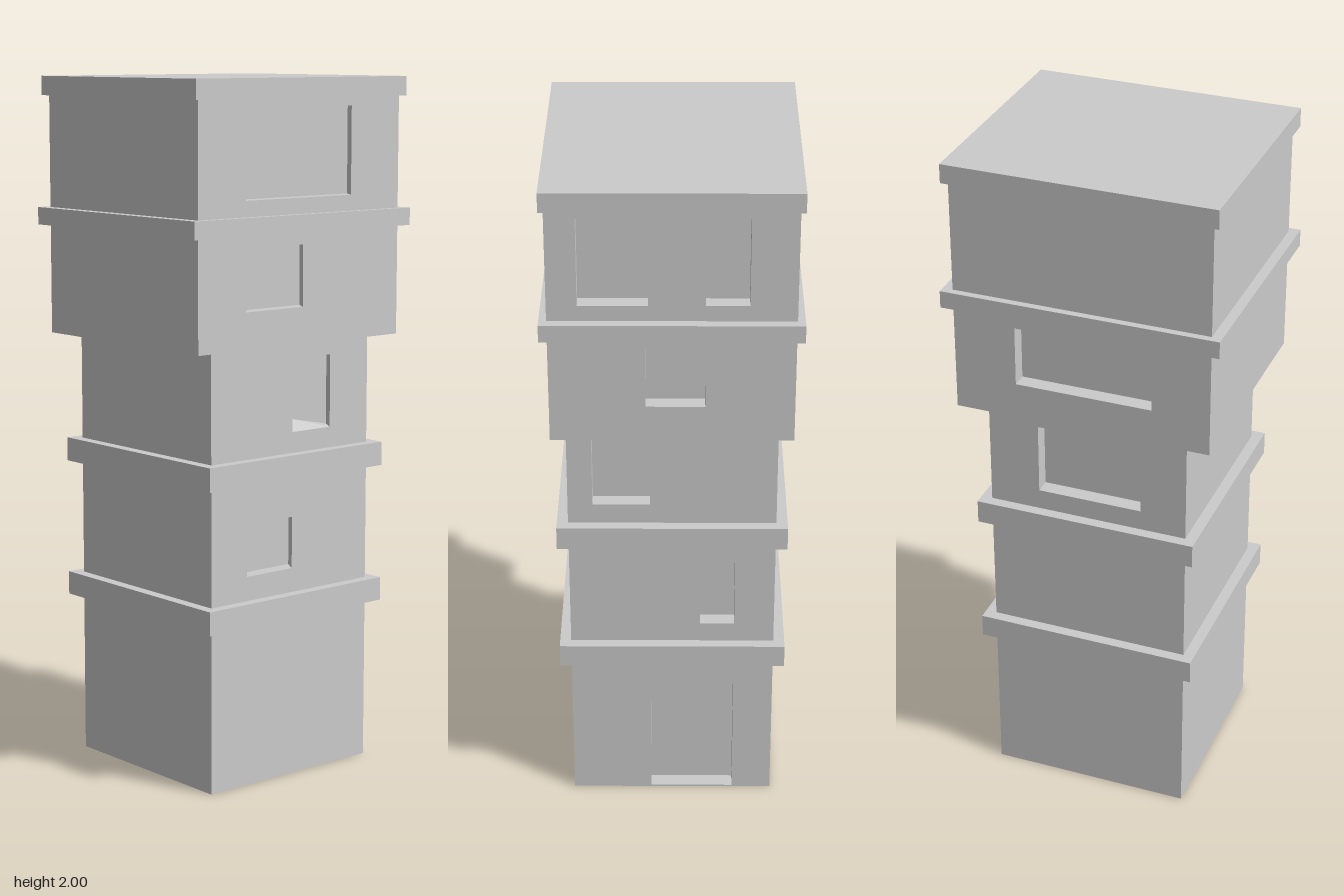
import * as THREE from 'three';

const material = new THREE.MeshStandardMaterial({ color: 0xcccccc, flatShading: true });

function mesh(name, geometry, parent) {
  const m = new THREE.Mesh(geometry, material);
  m.name = name;
  parent.add(m);
  return m;
}

// Sunken niche behind an opening: four reveals and a back panel.
// skew slides the back sideways, lift raises its lower left corner.
function nicheGeometry({ x0, x1, y0, y1, skew = 0, lift = 0 }, depth) {
  const outer = [[x0, y0, 0], [x1, y0, 0], [x1, y1, 0], [x0, y1, 0]];
  const inner = outer.map(([x, y], i) => [x + skew, y + (i === 0 ? lift : 0), -depth]);
  const points = [];
  for (let i = 0; i < 4; i++) {
    const j = (i + 1) % 4;
    points.push(outer[i], outer[j], inner[i], outer[j], inner[j], inner[i]);
  }
  points.push(inner[0], inner[1], inner[2], inner[0], inner[2], inner[3]);
  const g = new THREE.BufferGeometry();
  g.setAttribute('position', new THREE.Float32BufferAttribute(points.flat(), 3));
  g.computeVertexNormals();
  return g;
}

// Flat wall with rectangular openings, outer side towards +z.
function buildWall(name, halfWidth, y0, y1, openings, depth) {
  const wall = new THREE.Group();
  wall.name = name;
  const rectangle = (Type, a, b, c, d) => new Type([[a, c], [b, c], [b, d], [a, d]].map(p => new THREE.Vector2(...p)));
  const shape = rectangle(THREE.Shape, -halfWidth, halfWidth, y0, y1);
  for (const o of openings) {
    shape.holes.push(rectangle(THREE.Path, o.x0, o.x1, o.y0, o.y1));
    mesh(o.y0 < 0.1 ? 'doorNiche' : 'windowNiche', nicheGeometry(o, depth), wall);
  }
  mesh('wallSurface', new THREE.ShapeGeometry(shape), wall);
  return wall;
}

// Four walls and an underside; a and b are half the width and depth.
function buildBlock(name, a, b, y0, y1, openings) {
  const block = new THREE.Group();
  block.name = name;
  const sides = [
    ['frontWall', 0, a, b], ['leftWall', Math.PI / 2, b, a],
    ['backWall', Math.PI, a, b], ['rightWall', -Math.PI / 2, b, a],
  ];
  for (const [side, turn, half, offset] of sides) {
    const wall = buildWall(side, half, y0, y1, openings[side] || [], 0.046);
    wall.rotation.y = turn;
    wall.position.set(Math.sin(turn) * offset, 0, Math.cos(turn) * offset);
    block.add(wall);
  }
  const underside = mesh('underside', new THREE.PlaneGeometry(2 * a, 2 * b), block);
  underside.rotation.x = Math.PI / 2;
  underside.position.y = y0;
  return block;
}

const opening = (x0, x1, y0, y1, extra) => ({ x0, x1, y0, y1, ...extra });

export function createModel() {
  const model = new THREE.Group();
  model.name = 'tower';
  const tower = new THREE.Group();
  tower.name = 'turnedTower';
  tower.rotation.y = -0.589;
  model.add(tower);

  const skew = 0.028;
  // Narrow lower storeys
  tower.add(buildBlock('lowerStoreys', 0.295, 0.295, 0, 1.26, {
    leftWall: [
      opening(-0.164, 0.005, 0.61, 0.76, { skew }),
      opening(0.005, 0.149, 1.005, 1.215, { skew, lift: 0.03 }),
    ],
    backWall: [
      opening(-0.063, 0.18, 0.005, 0.385),
      opening(0.081, 0.18, 0.6, 0.81),
      opening(-0.225, -0.063, 1.005, 1.215),
    ],
    rightWall: [opening(-0.147, 0.16, 1.005, 1.215)],
  }));

  // Overhanging upper storeys
  tower.add(buildBlock('upperStoreys', 0.334, 0.373, 1.26, 1.96, {
    leftWall: [
      opening(-0.203, 0.007, 1.365, 1.54, { skew }),
      opening(-0.203, 0.188, 1.67, 1.92, { skew }),
    ],
    backWall: [
      opening(-0.072, 0.09, 1.365, 1.54),
      opening(-0.252, -0.063, 1.67, 1.92),
      opening(0.09, 0.207, 1.67, 1.92),
    ],
    rightWall: [opening(-0.193, 0.205, 1.365, 1.54)],
  }));

  // Ledges between storeys and the flat roof
  const slabs = [
    ['lowerLedge', 0.327, 0.327, 0.472, 0.54],
    ['middleLedge', 0.327, 0.327, 0.876, 0.945],
    ['upperLedge', 0.355, 0.402, 1.575, 1.625],
    ['roofSlab', 0.347, 0.39, 1.945, 2],
  ];
  for (const [name, a, b, y0, y1] of slabs) {
    mesh(name, new THREE.BoxGeometry(2 * a, y1 - y0, 2 * b), tower).position.y = (y0 + y1) / 2;
  }
  return model;
}
